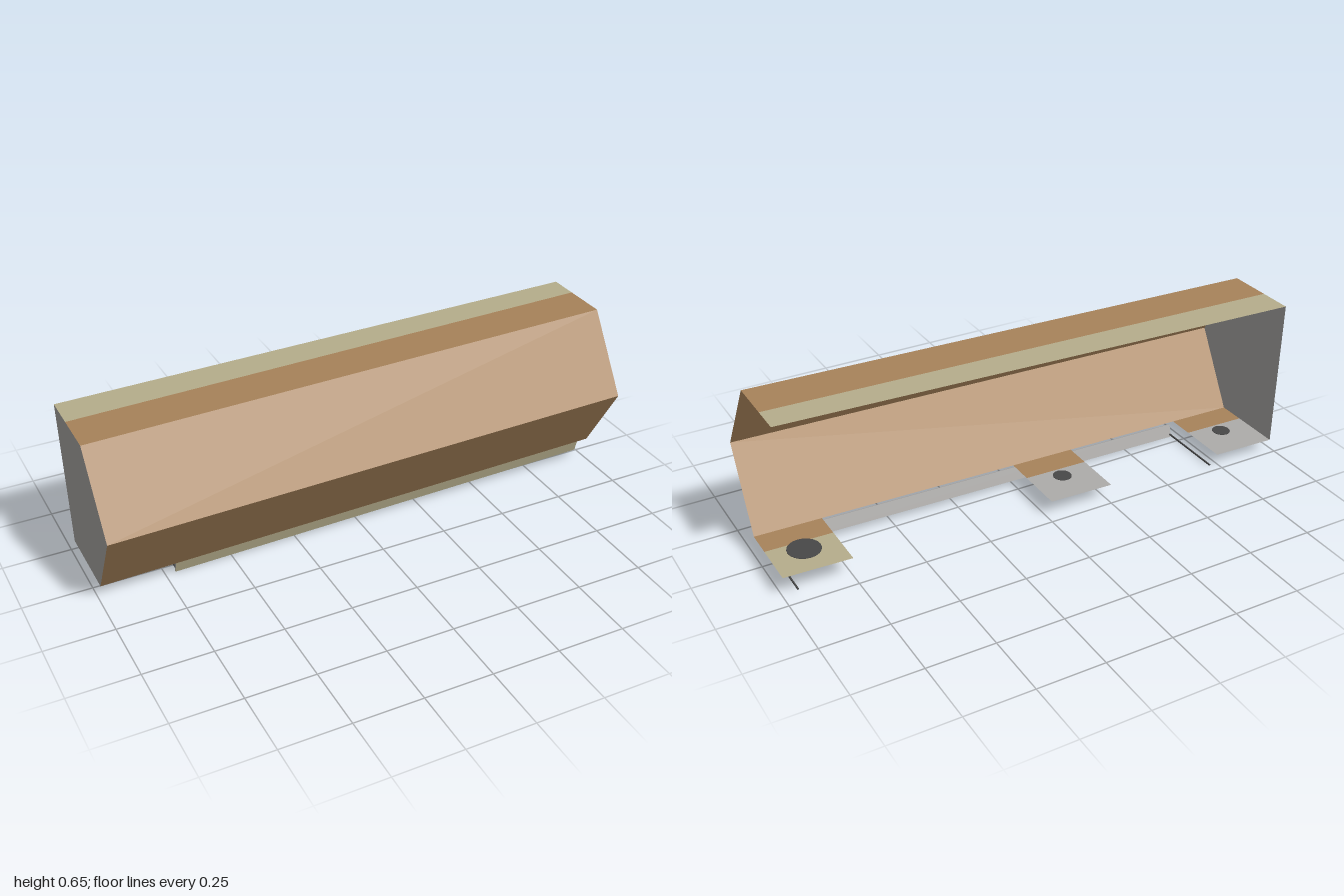
import * as THREE from 'three';

const mat = (name, color, side = THREE.DoubleSide) =>
  new THREE.MeshStandardMaterial({ name, color, side });

export function createModel() {
  const tan = mat('tan', 0xa8835a);
  const khaki = mat('khaki', 0xb6ae8c);
  const grey = mat('grey', 0xaeacaa);
  const dark = mat('dark grey', 0x484848);

  const model = new THREE.Group();
  model.name = 'openTrough';
  // The whole body leans slightly, with its +x end raised
  const body = new THREE.Group();
  body.name = 'tiltedBody';
  body.position.y = 0.352;
  body.rotation.z = 0.0205;
  model.add(body);

  const add = (name, geometry, material) => {
    const mesh = new THREE.Mesh(geometry, material);
    mesh.name = name;
    body.add(mesh);
    return mesh;
  };

  // Flat sheet through corner points given in order
  const sheet = (name, points, material) => {
    const g = new THREE.BufferGeometry();
    g.setAttribute('position', new THREE.Float32BufferAttribute(points.flat(), 3));
    const index = [];
    for (let i = 1; i < points.length - 1; i++) index.push(0, i, i + 1);
    g.setIndex(index);
    g.computeVertexNormals();
    return add(name, g, material);
  };

  const L = 0.994, top = 0.283, bottom = -0.283, fold = 0.062, peak = 0.234, split = -0.103;
  // The rear edge tapers along the length
  const rear = (x) => -0.221 + 0.011 * x / L;
  // Horizontal panel between two x positions, from z0 back to z1 (or the rear edge)
  const level = (name, x0, x1, y, z0, z1, material) => sheet(name, [
    [x0, y, z0], [x1, y, z0], [x1, y, z1 ?? rear(x1)], [x0, y, z1 ?? rear(x0)],
  ], material);

  // Folded shell
  sheet('upperFrontPanel', [[-L, 0, peak], [L, 0, peak], [L, top, fold], [-L, top, fold]], tan);
  sheet('lowerFrontPanel', [[-L, bottom, fold], [L, bottom, fold], [L, 0, peak], [-L, 0, peak]], tan);
  level('topPanelFront', -L, L, top, fold, split, tan);
  level('topPanelRear', -L, L, top, split, null, khaki);

  // Closed end
  sheet('endCap', [
    [-L, bottom, fold], [-L, 0, peak], [-L, top, fold], [-L, top, rear(-L)], [-L, bottom, rear(-L)],
  ], grey);

  // Mounting tabs along the open underside, each with a dark pad on both faces
  const tabs = [
    ['right', -L, -0.745, grey, 0.035],
    ['middle', -0.27, -0.02, grey, 0.035],
    ['left', 0.745, L, khaki, 0.06],
  ];
  for (const [side, x0, x1, rearMaterial, radius] of tabs) {
    level(side + 'TabFront', x0, x1, bottom, fold, -0.04, tan);
    level(side + 'TabRear', x0, x1, bottom, -0.04, null, rearMaterial);
    const pad = add(side + 'TabPad', new THREE.CylinderGeometry(radius, radius, 0.003, 20), dark);
    pad.position.set((x0 + x1) / 2, bottom, -0.085);
  }

  // Lip hanging below the front fold
  const lip = add('frontLip', new THREE.BoxGeometry(1.675, 0.05, 0.006),
    [grey, grey, grey, grey, khaki, grey]);
  lip.position.set(0.118, -0.309, 0.046);
  lip.rotation.x = 0.3;

  // Thin arms running back from the ends of the lip
  for (const [side, x, y] of [['left', 0.95, -0.33], ['right', -0.715, -0.321]]) {
    const arm = add(side + 'Arm', new THREE.BoxGeometry(0.005, 0.005, 0.265), dark);
    arm.position.set(x, y, -0.095);
  }
  return model;
}
